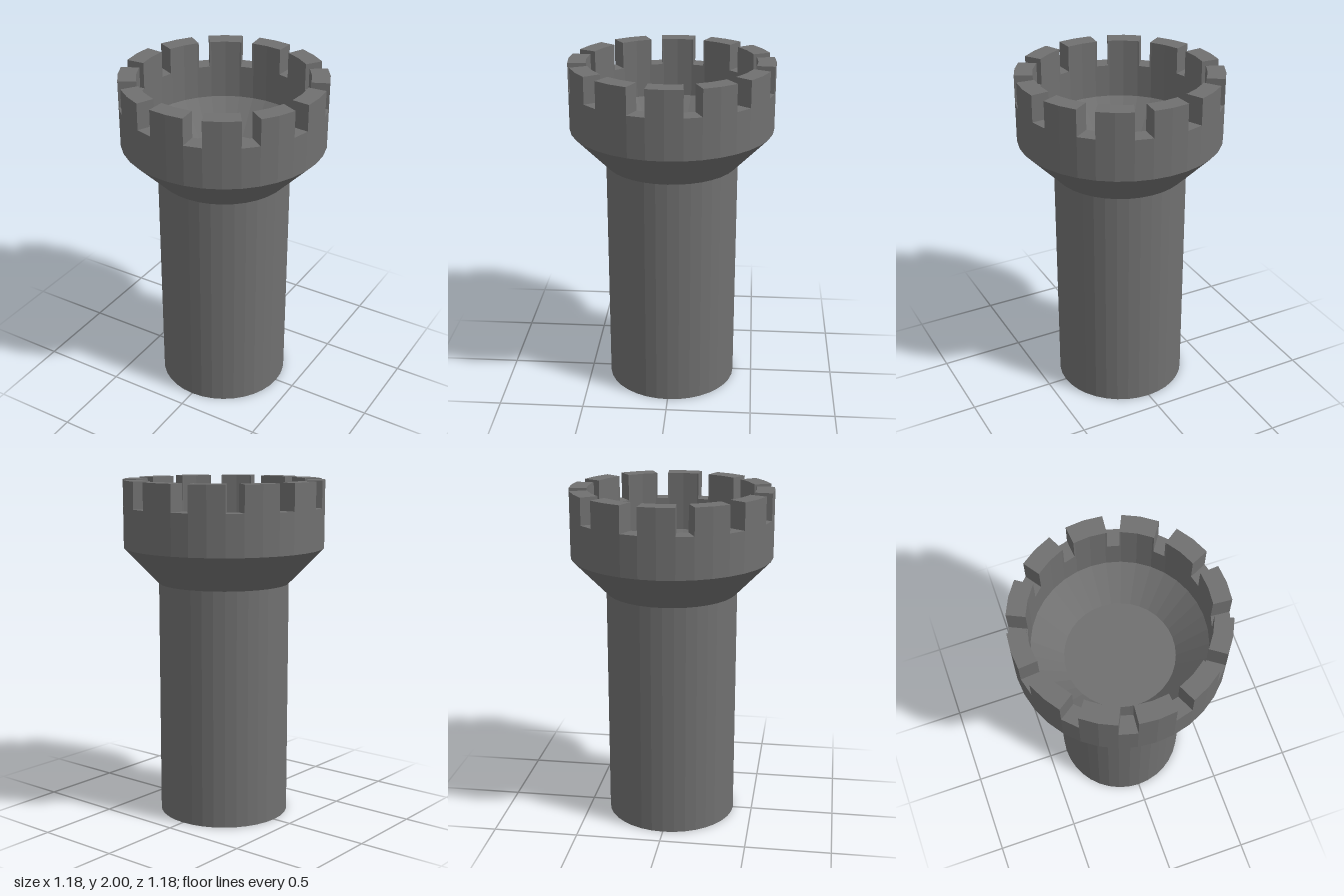
import * as THREE from 'three';

const SEGMENTS = 36;
const OUTER = 0.59, INNER = 0.487; // parapet radii
const NOTCH_Y = 1.845, TOP_Y = 2;

export function createModel() {
  const group = new THREE.Group();
  group.name = 'tower';
  const stone = new THREE.MeshStandardMaterial({ color: 0x707070, flatShading: true });

  // Shaft, flared collar, parapet wall and hollow top in one turned profile
  const profile = [
    [0, 0], [0.385, 0], [0.385, 1.395], [OUTER, 1.607], [OUTER, NOTCH_Y],
    [INNER, NOTCH_Y], [INNER, 1.65], [0.313, 1.47], [0, 1.47],
  ].map(([r, y]) => new THREE.Vector2(r, y));
  const body = new THREE.Mesh(new THREE.LatheGeometry(profile, SEGMENTS), stone);
  body.name = 'towerBody';
  group.add(body);

  // One merlon: a ring sector two facets wide, its inner face slightly wider
  const step = (Math.PI * 2) / SEGMENTS;
  const at = (r, i) => new THREE.Vector2(r * Math.cos(i * step), r * Math.sin(i * step));
  const sector = new THREE.Shape([
    ...[-1, 0, 1].map((i) => at(OUTER, i)),
    at(INNER - 0.001, 1.11),
    ...[1, 0, -1].map((i) => at(INNER, i)),
    at(INNER - 0.001, -1.11),
  ]);
  const merlonGeometry = new THREE.ExtrudeGeometry(sector, { depth: TOP_Y - NOTCH_Y, bevelEnabled: false });
  merlonGeometry.rotateX(-Math.PI / 2).translate(0, NOTCH_Y, 0);

  // Twelve merlons separated by gaps one facet wide
  const merlons = new THREE.Group();
  merlons.name = 'battlements';
  for (let i = 0; i < 12; i++) {
    const merlon = new THREE.Mesh(merlonGeometry, stone);
    merlon.name = `merlon${i + 1}`;
    merlon.rotation.y = i * 3 * step;
    merlons.add(merlon);
  }
  group.add(merlons);
  return group;
}
